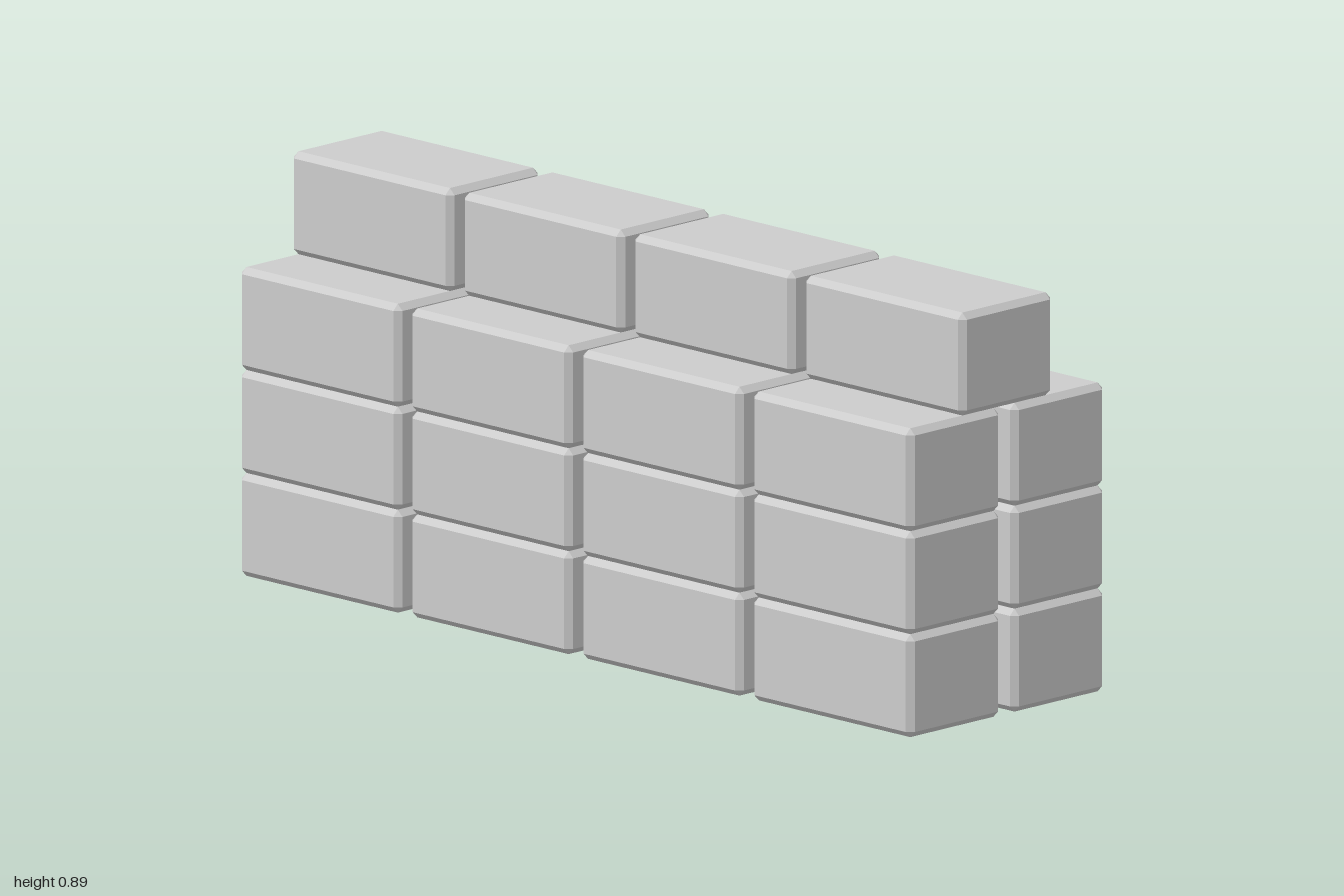
import * as THREE from 'three';
import { ConvexGeometry } from 'three/addons/geometries/ConvexGeometry.js';

const W = 0.477, H = 0.2236, D = 0.275; // block size
const BEVEL = 0.0135;
const PITCH_X = (2 - W) / 3, ROW_Z = 0.1555;

// Box with all twelve edges chamfered and small triangular corners
function chamferedBox(w, h, d, b) {
  const points = [];
  for (const sx of [-1, 1]) for (const sy of [-1, 1]) for (const sz of [-1, 1]) {
    const x = w / 2, y = h / 2, z = d / 2;
    points.push(
      new THREE.Vector3(sx * x, sy * (y - b), sz * (z - b)),
      new THREE.Vector3(sx * (x - b), sy * y, sz * (z - b)),
      new THREE.Vector3(sx * (x - b), sy * (y - b), sz * z)
    );
  }
  return new ConvexGeometry(points);
}

export function createModel() {
  const model = new THREE.Group();
  model.name = 'blockWall';
  const stone = new THREE.MeshStandardMaterial({ color: 0xcccccc, flatShading: true });
  stone.name = 'light grey concrete';
  const geometry = chamferedBox(W, H, D, BEVEL);

  // Three double courses topped by one centred course
  for (let course = 0; course < 4; course++) {
    const group = new THREE.Group();
    group.name = course < 3 ? `course${course + 1}` : 'topCourse';
    for (const z of course < 3 ? [ROW_Z, -ROW_Z] : [0]) {
      for (let i = 0; i < 4; i++) {
        const block = new THREE.Mesh(geometry, stone);
        block.name = 'block';
        block.position.set((i - 1.5) * PITCH_X, (course + 0.5) * H, z);
        group.add(block);
      }
    }
    model.add(group);
  }
  return model;
}
